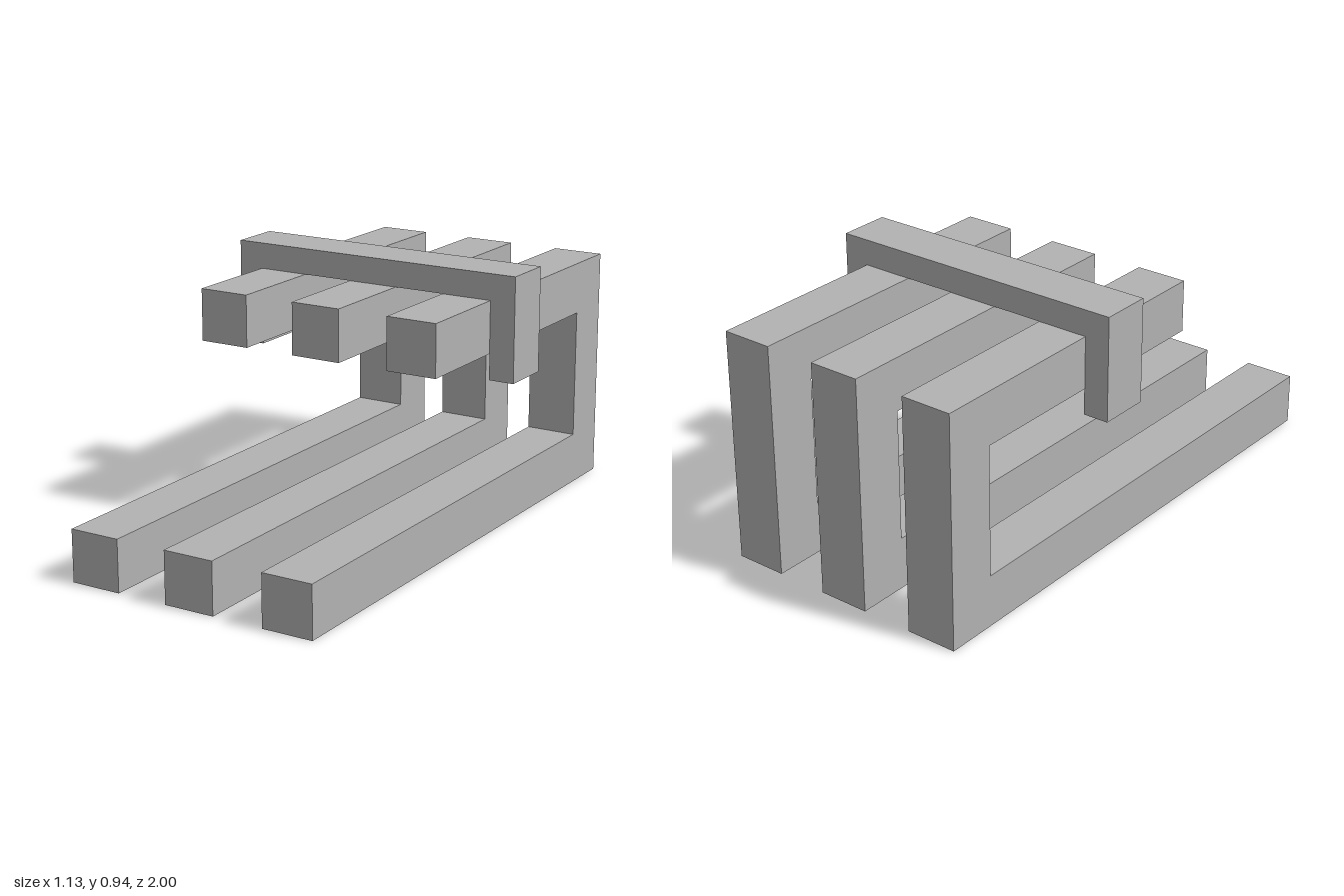
import * as THREE from 'three';

const U = 0.0943; // half the thickness of one bar
const BAR = 2 * U;

// Extrude a closed outline, centred on its depth
function extrudeOutline(points, depth) {
  const shape = new THREE.Shape(points.map(([a, b]) => new THREE.Vector2(a, b)));
  return new THREE.ExtrudeGeometry(shape, { depth, bevelEnabled: false }).translate(0, 0, -depth / 2);
}

export function createModel() {
  const group = new THREE.Group();
  const grey = new THREE.MeshStandardMaterial({ color: 0xb2b2b2 });
  grey.name = 'grey';

  // Three hooked bars: long foot, rear post and shorter upper arm, outlined in (z, y)
  const top = 9 * U, armEnd = 0.246, back = -1;
  const hook = extrudeOutline([
    [back, 0], [1, 0], [1, BAR], [back + BAR, BAR],
    [back + BAR, top - BAR], [armEnd, top - BAR], [armEnd, top], [back, top],
  ], BAR).rotateY(-Math.PI / 2);
  ['rightHook', 'centreHook', 'leftHook'].forEach((name, i) => {
    const bar = new THREE.Mesh(hook, grey);
    bar.name = name;
    bar.position.x = (i - 1) * 4 * U - 0.001;
    group.add(bar);
  });

  // Bridge laid over the upper arms, with a short leg down each outer side
  const outer = 6 * U - 0.001, inner = 5 * U - 0.001;
  const bridge = new THREE.Mesh(extrudeOutline([
    [-outer, 6 * U], [-inner, 6 * U], [-inner, top], [inner, top],
    [inner, 6 * U], [outer, 6 * U], [outer, 10 * U], [-outer, 10 * U],
  ], BAR), grey);
  bridge.name = 'bridge';
  bridge.position.z = -0.223;
  group.add(bridge);

  return group;
}
